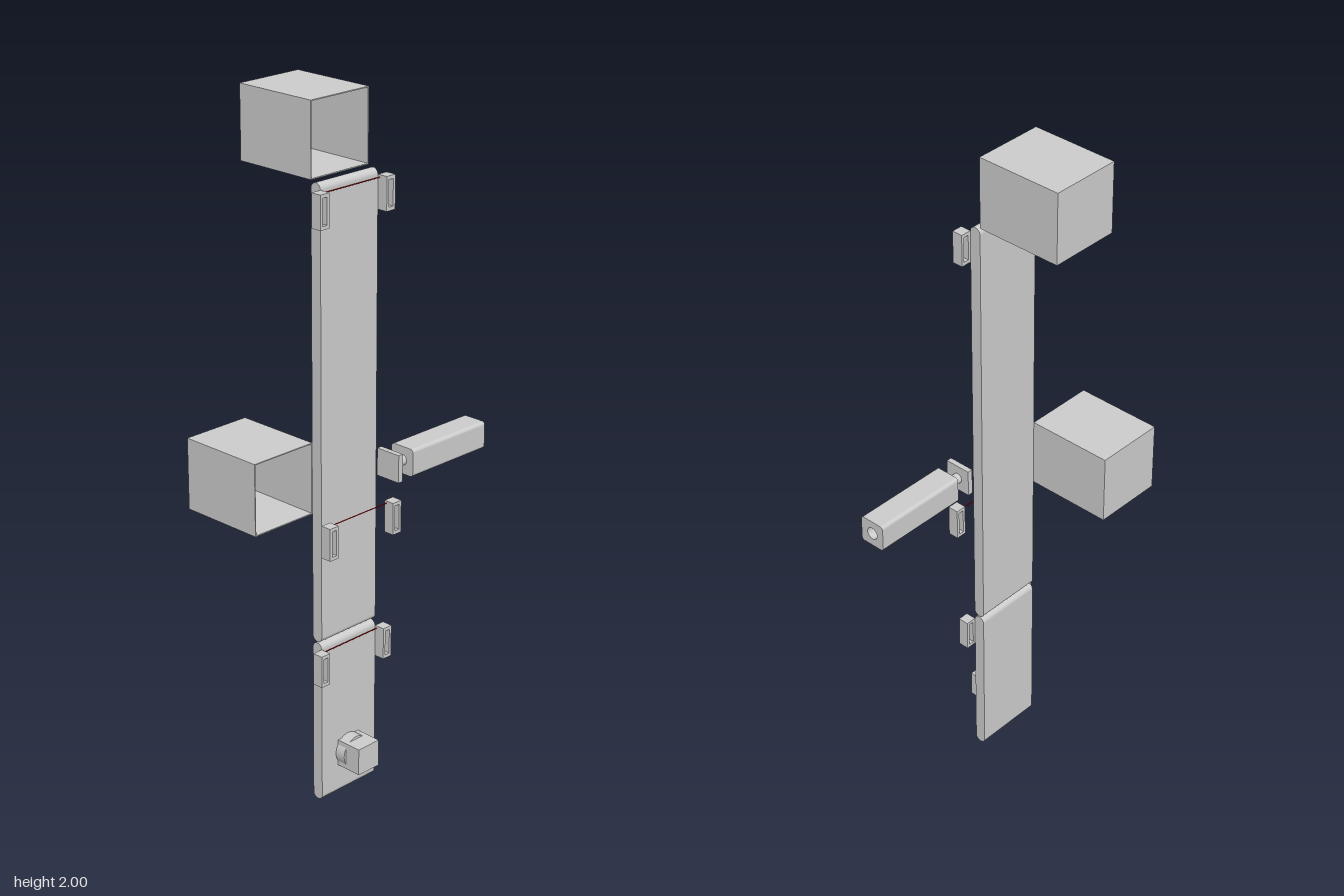
import * as THREE from 'three';

const grey = new THREE.MeshStandardMaterial({ color: 0xcccccc });
const red = new THREE.MeshStandardMaterial({ color: 0xcc0000 });
const CX = -0.07, W = 0.21; // centre and width of the belt line

function add(parent, name, geo, x, y, z, mat = grey) {
  const m = new THREE.Mesh(geo, mat);
  m.name = name;
  m.position.set(x, y, z);
  parent.add(m);
  return m;
}

function rect(w, h, r = 0, P = THREE.Shape) {
  const s = new P(), a = w / 2, b = h / 2;
  if (!r) {
    s.moveTo(-a, -b).lineTo(a, -b).lineTo(a, b).lineTo(-a, b).closePath();
    return s;
  }
  s.absarc(a - r, b - r, r, 0, Math.PI / 2);
  s.absarc(-a + r, b - r, r, Math.PI / 2, Math.PI);
  s.absarc(-a + r, -b + r, r, Math.PI, Math.PI * 1.5);
  s.absarc(a - r, -b + r, r, Math.PI * 1.5, Math.PI * 2);
  s.closePath();
  return s;
}

function extrude(shape, depth, curveSegments = 10) {
  return new THREE.ExtrudeGeometry(shape, { depth, bevelEnabled: false, curveSegments })
    .translate(0, 0, -depth / 2);
}

// Upright belt with round ends
function belt(parent, name, y0, y1) {
  const geo = extrude(rect(0.034, y1 - y0, 0.0169), W).rotateY(Math.PI / 2);
  add(parent, name, geo, CX, (y0 + y1) / 2, 0.087);
}

// Thin-walled bin, open towards the front
function bin(parent, name, x, y) {
  const w = W, h = 0.206, d = 0.26, t = 0.003;
  const g = new THREE.Group();
  g.name = name;
  g.position.set(x, y, -0.06);
  const wall = rect(w, h);
  wall.holes.push(rect(w - 2 * t, h - 2 * t, 0, THREE.Path));
  add(g, 'binWalls', extrude(wall, d), 0, 0, 0);
  add(g, 'binBack', new THREE.BoxGeometry(w - 2 * t, h - 2 * t, t), 0, 0, -d / 2 + t / 2);
  parent.add(g);
}

// Pair of hollow sensor housings with a light beam across the belt
function lightBarrier(parent, name, y, z) {
  const g = new THREE.Group();
  g.name = name;
  g.position.set(CX, y, z);
  const frame = rect(0.032, 0.094);
  frame.holes.push(rect(0.016, 0.074, 0, THREE.Path));
  const housing = extrude(frame, 0.032);
  for (const s of [-1, 1]) add(g, 'sensorHousing', housing, s * (W / 2 + 0.016), 0, 0);
  const beam = new THREE.CylinderGeometry(0.0015, 0.0015, W, 8).rotateZ(Math.PI / 2);
  add(g, 'lightBeam', beam, 0, 0.04, -0.01, red);
  parent.add(g);
}

// Sideways pusher: plate, rod and bored cylinder body
function pusher(parent) {
  const g = new THREE.Group();
  g.name = 'pusher';
  g.position.set(0, 0.97, 0.147);
  add(g, 'pushPlate', new THREE.BoxGeometry(0.016, 0.08, 0.08), 0.044, 0, 0);
  add(g, 'pushRod', new THREE.CylinderGeometry(0.015, 0.015, 0.06, 24).rotateZ(Math.PI / 2), 0.08, 0, 0);
  const profile = rect(0.08, 0.08, 0.01);
  profile.holes.push(new THREE.Path().absarc(0, 0, 0.018, 0, Math.PI * 2, true));
  add(g, 'pusherBody', extrude(profile, 0.292).rotateY(Math.PI / 2), 0.238, 0, 0);
  add(g, 'boreFloor', new THREE.CylinderGeometry(0.018, 0.018, 0.24, 24).rotateZ(Math.PI / 2), 0.214, 0, 0);
  parent.add(g);
}

// Workpiece: cube with a round collar at its base
function workpiece(parent) {
  const g = new THREE.Group();
  g.name = 'workpiece';
  g.position.set(CX - 0.002, 0.128, 0.104);
  add(g, 'cube', new THREE.BoxGeometry(0.08, 0.08, 0.081), 0, 0, 0.0405);
  add(g, 'collar', new THREE.CylinderGeometry(0.048, 0.048, 0.032, 40).rotateX(Math.PI / 2), 0, 0, 0.016);
  parent.add(g);
}

export function createModel() {
  const model = new THREE.Group();
  model.name = 'sortingConveyor';
  belt(model, 'shortBelt', 0, 0.489);
  belt(model, 'longBelt', 0.493, 1.79);
  bin(model, 'endBin', CX, 1.897);
  bin(model, 'sideBin', CX - W, 0.972);
  lightBarrier(model, 'lowerLightBarrier', 0.427, 0.12);
  lightBarrier(model, 'middleLightBarrier', 0.818, 0.153);
  lightBarrier(model, 'upperLightBarrier', 1.727, 0.12);
  pusher(model);
  workpiece(model);
  return model;
}
